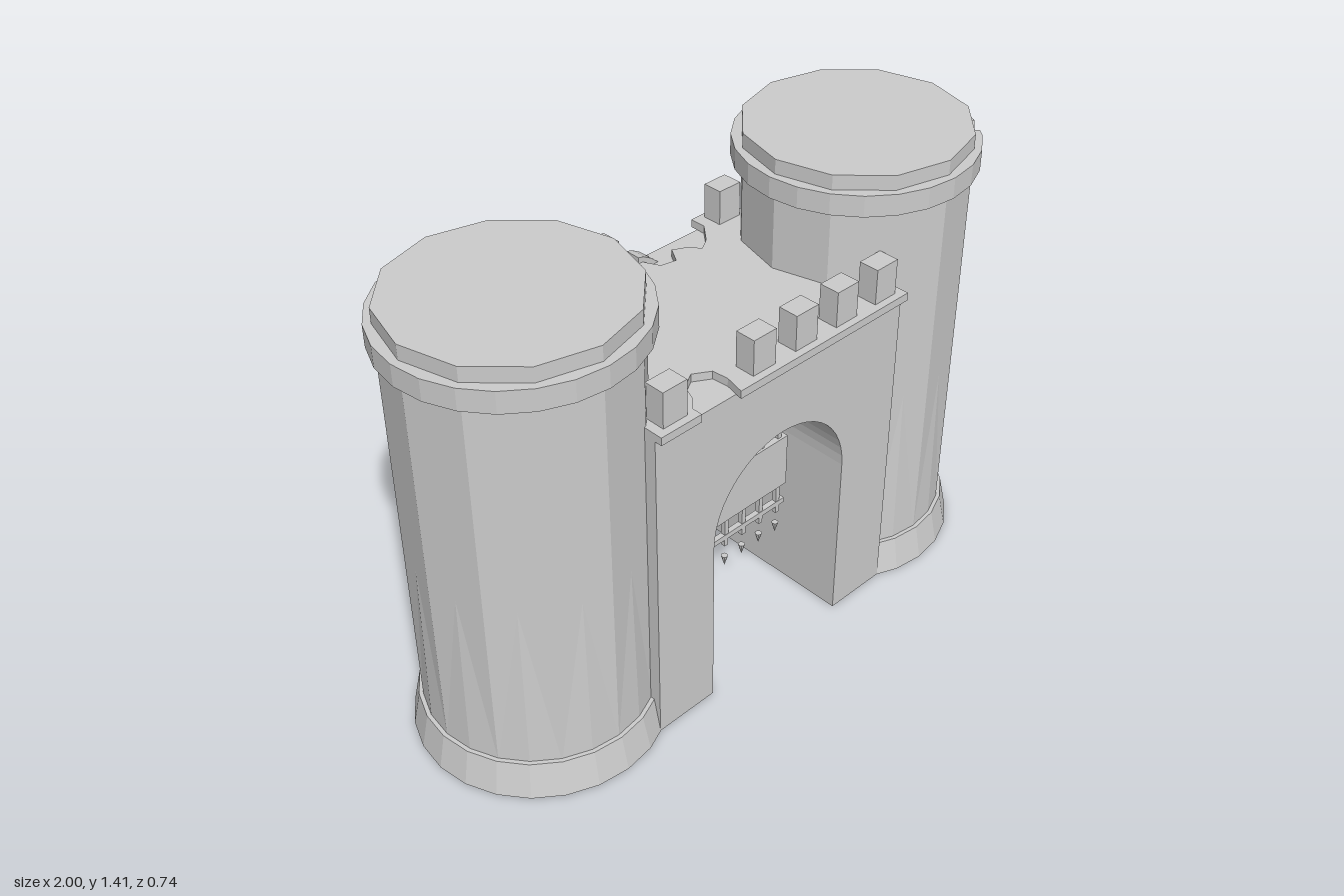
import * as THREE from 'three';

const stone = new THREE.MeshStandardMaterial({ color: 0xcccccc });
stone.name = 'grey stone';

const TOWER_X = 0.63;
const DEG = Math.PI / 180;

function part(parent, name, geometry, x = 0, y = 0, z = 0) {
  const mesh = new THREE.Mesh(geometry, stone);
  mesh.name = name;
  mesh.position.set(x, y, z);
  parent.add(mesh);
  return mesh;
}

function flat(geometry) {
  const g = geometry.index ? geometry.toNonIndexed() : geometry;
  g.computeVertexNormals();
  return g;
}

// Skin between closed loops of [x, y, z], listed from the bottom outwards and up.
function loft(loops) {
  const pos = [];
  const n = loops[0].length;
  for (let j = 0; j < loops.length - 1; j++) {
    for (let i = 0; i < n; i++) {
      const k = (i + 1) % n;
      const a = loops[j][i], b = loops[j][k], c = loops[j + 1][i], d = loops[j + 1][k];
      const tris = i % 2 ? [a, c, b, b, c, d] : [a, c, d, a, d, b];
      tris.forEach((p) => pos.push(...p));
    }
  }
  const g = new THREE.BufferGeometry();
  g.setAttribute('position', new THREE.Float32BufferAttribute(pos, 3));
  g.computeVertexNormals();
  return g;
}

// Shaft: 24 sides at the foot, tapering through pointed facets into 12 sides.
function shaftGeometry() {
  const loop = (y, squeeze) => Array.from({ length: 24 }, (_, i) => {
    const a = i * 15 * DEG;
    const r = 0.335 * (i % 2 ? squeeze : 1);
    return [r * Math.cos(a), y, r * Math.sin(a)];
  });
  const inner = Math.cos(15 * DEG);
  return loft([loop(0.1, 1), loop(0.65, inner), loop(1.32, inner)]);
}

// Collar: 24-sided band, optionally with a chip broken out of its top edge.
function collarGeometry(chipped) {
  const points = Array.from({ length: 24 }, (_, i) => ({ a: i * 15, drop: 0 }));
  if (chipped) {
    const chip = [[31, 0], [32.5, 0.022], [34.5, 0.038], [37, 0.035], [38.5, 0.015], [40.5, 0]];
    points.splice(3, 0, ...chip.map(([a, drop]) => ({ a, drop })));
  }
  const loop = (radius, y, top) => points.map(({ a, drop }) => {
    // Keep extra points on the straight side of the 24-gon.
    const off = (a % 15) - 7.5;
    const r = radius * Math.cos(7.5 * DEG) / Math.cos(off * DEG);
    return [r * Math.cos(a * DEG), y - (top ? drop : 0), r * Math.sin(a * DEG)];
  });
  return loft([
    loop(0.315, 1.3, false), loop(0.357, 1.3, false),
    loop(0.357, 1.365, true), loop(0.315, 1.365, true),
  ]);
}

function tower(name, x, chipped) {
  const g = new THREE.Group();
  g.name = name;
  g.position.x = x;
  part(g, 'towerBase', flat(new THREE.CylinderGeometry(0.347, 0.37, 0.11, 24)), 0, 0.055, 0);
  part(g, 'towerShaft', shaftGeometry());
  part(g, 'towerCollar', collarGeometry(chipped));
  part(g, 'towerCap', flat(new THREE.CylinderGeometry(0.335, 0.335, 0.1, 12)), 0, 1.36, 0);
  return g;
}

// Wall block with an arched passage.
function gateWallGeometry() {
  const w = 0.47, p = 0.26, depth = 0.66;
  const s = new THREE.Shape();
  s.moveTo(-w, 0);
  s.lineTo(-p, 0);
  s.lineTo(-p, 0.56);
  s.absarc(0, 0.56, p, Math.PI, 0, true);
  s.lineTo(p, 0);
  s.lineTo(w, 0);
  s.lineTo(w, 1.04);
  s.lineTo(-w, 1.04);
  s.closePath();
  const g = new THREE.ExtrudeGeometry(s, { depth, bevelEnabled: false, curveSegments: 12 });
  return g.translate(0, 0, -depth / 2);
}

// Walkway slab with a broken bite in the front and back edges (drawn as x, z).
function walkwayGeometry() {
  const outline = [
    [-0.47, -0.353], [0.06, -0.353], [0.05, -0.29], [0.08, -0.23], [0.13, -0.22], [0.16, -0.27],
    [0.2, -0.25], [0.23, -0.215], [0.27, -0.24], [0.32, -0.3], [0.32, -0.353], [0.47, -0.353],
    [0.47, 0.353], [-0.19, 0.353], [-0.175, 0.29], [-0.18, 0.24], [-0.23, 0.21],
    [-0.28, 0.24], [-0.3, 0.29], [-0.33, 0.32], [-0.33, 0.353], [-0.47, 0.353],
  ];
  const s = new THREE.Shape(outline.map(([x, z]) => new THREE.Vector2(x, -z)));
  const g = new THREE.ExtrudeGeometry(s, { depth: 0.025, bevelEnabled: false });
  return g.rotateX(-Math.PI / 2).translate(0, 1.04, 0);
}

function portcullis() {
  const g = new THREE.Group();
  g.name = 'portcullis';
  g.position.z = 0.115;
  part(g, 'gatePlate', new THREE.BoxGeometry(0.49, 0.18, 0.03), 0, 0.475, 0);
  for (const y of [0.7, 0.605, 0.315]) {
    part(g, 'crossBar', new THREE.BoxGeometry(0.49, 0.018, 0.018), 0, y, 0);
  }
  for (let i = -3; i <= 3; i++) {
    const x = i * 0.073;
    const top = Math.abs(i) === 3 ? 0.69 : 0.755;
    part(g, 'uprightBar', new THREE.BoxGeometry(0.015, top - 0.28, 0.015), x, (top + 0.28) / 2, 0);
    const spike = flat(new THREE.ConeGeometry(0.011, 0.038, 8).rotateX(Math.PI));
    part(g, 'spike', spike, x, 0.217, 0);
  }
  return g;
}

export function createModel() {
  const model = new THREE.Group();
  model.name = 'castleGate';

  model.add(tower('leftTower', TOWER_X, true), tower('rightTower', -TOWER_X, false));

  part(model, 'gateWall', gateWallGeometry());
  part(model, 'walkway', walkwayGeometry());

  // Battlements, with the broken ones left out
  const front = [-0.4, -0.08, 0.08, 0.24, 0.4];
  const back = [-0.4, -0.24, -0.08, 0.4];
  const merlon = new THREE.BoxGeometry(0.083, 0.115, 0.064);
  front.forEach((x) => part(model, 'frontMerlon', merlon, x, 1.118, 0.298));
  back.forEach((x) => part(model, 'backMerlon', merlon, x, 1.118, -0.305));

  // Stump of a broken back merlon
  const stump = new THREE.Shape([[0, 0], [0.075, 0], [0.05, 0.022], [0.02, 0.04], [0, 0.045]]
    .map(([x, y]) => new THREE.Vector2(x, y)));
  part(model, 'brokenMerlon',
    new THREE.ExtrudeGeometry(stump, { depth: 0.05, bevelEnabled: false }), 0.04, 1.04, -0.33);

  model.add(portcullis());
  return model;
}
